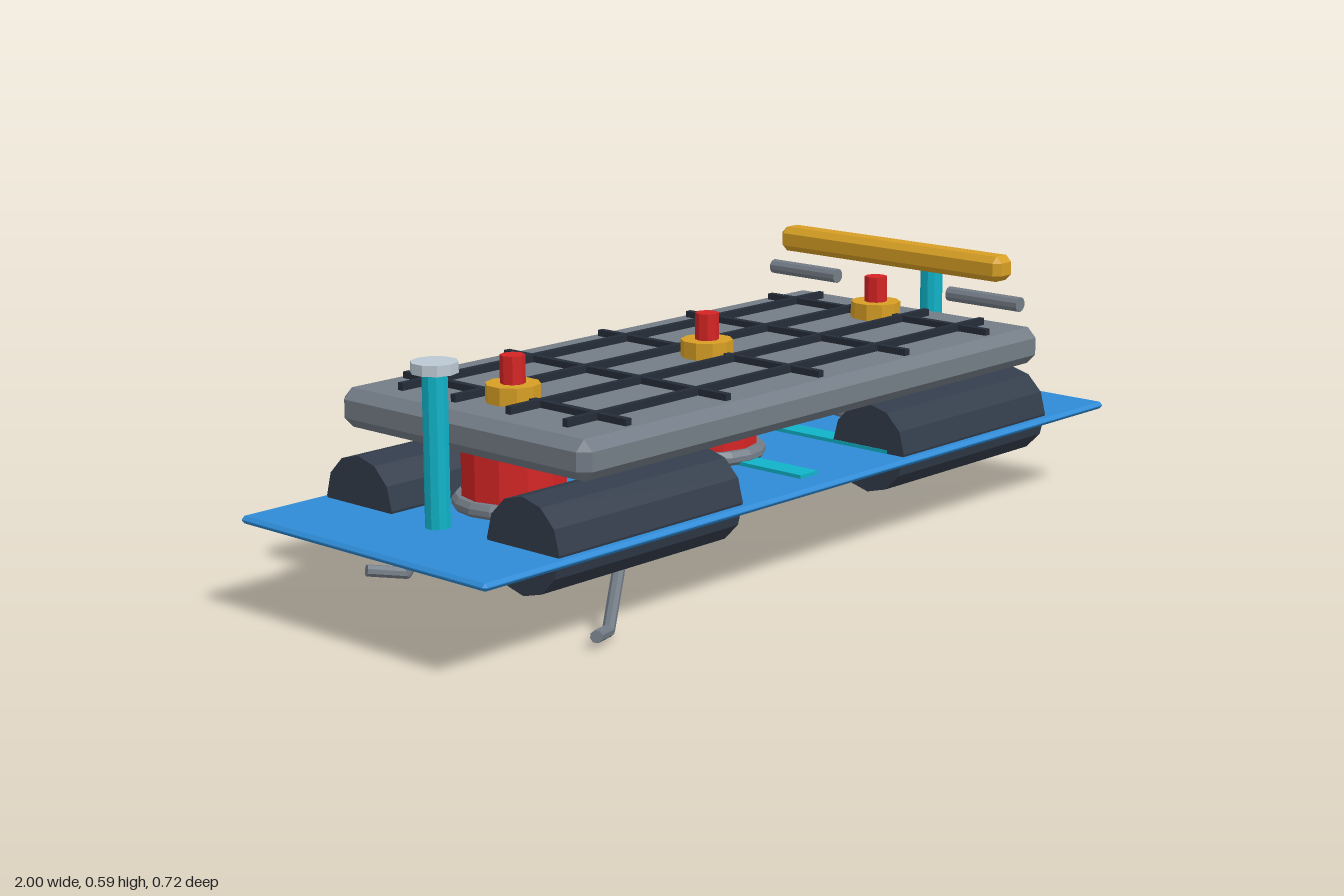
import * as THREE from 'three';
import { ConvexGeometry } from 'three/addons/geometries/ConvexGeometry.js';

const mat = (name, color) => {
  const m = new THREE.MeshStandardMaterial({ color, flatShading: true });
  m.name = name;
  return m;
};

// Box with all edges chamfered by c
function chamferBox(w, h, d, c) {
  const pts = [], [x, y, z] = [w / 2, h / 2, d / 2];
  for (const i of [-1, 1]) for (const j of [-1, 1]) for (const k of [-1, 1]) {
    pts.push(
      new THREE.Vector3(i * x, j * (y - c), k * (z - c)),
      new THREE.Vector3(i * (x - c), j * y, k * (z - c)),
      new THREE.Vector3(i * (x - c), j * (y - c), k * z));
  }
  return new ConvexGeometry(pts);
}

export function createModel() {
  const model = new THREE.Group();
  model.name = 'platform';
  const blue = mat('board blue', 0x2e8bd6);
  const grey = mat('steel grey', 0x737c86);
  const dark = mat('pod slate', 0x323c4a);
  const black = mat('grid charcoal', 0x242c38);
  const red = mat('drum red', 0xd42424);
  const gold = mat('brass gold', 0xd69e24);
  const cyan = mat('post cyan', 0x10b2c8);
  const pale = mat('cap silver', 0xbcc8d2);

  const add = (name, geo, material, x = 0, y = 0, z = 0, parent = model) => {
    const m = new THREE.Mesh(geo, material);
    m.name = name;
    m.position.set(x, y, z);
    parent.add(m);
    return m;
  };
  // Upright cylinder between two heights
  const post = (name, r, y0, y1, sides, material, x) =>
    add(name, new THREE.CylinderGeometry(r, r, y1 - y0, sides), material, x, (y0 + y1) / 2, 0);

  // Bent rod: straight segments with ball joints
  const rod = (name, points, r) => {
    const g = new THREE.Group();
    g.name = name;
    const v = points.map(p => new THREE.Vector3(...p));
    for (let i = 0; i < v.length - 1; i++) {
      const dir = v[i + 1].clone().sub(v[i]);
      const mid = v[i].clone().add(v[i + 1]).multiplyScalar(0.5);
      const seg = add('rodSegment', new THREE.CylinderGeometry(r, r, dir.length(), 8), grey,
        mid.x, mid.y, mid.z, g);
      seg.quaternion.setFromUnitVectors(new THREE.Vector3(0, 1, 0), dir.normalize());
      if (i > 0) add('rodJoint', new THREE.SphereGeometry(r, 8, 6), grey, v[i].x, v[i].y, v[i].z, g);
    }
    model.add(g);
  };

  // Base board and upper deck
  add('baseBoard', chamferBox(2, 0.016, 0.71, 0.007), blue, 0, 0.198, 0);
  add('deck', chamferBox(1.476, 0.083, 0.71, 0.022), grey, 0, 0.3835, 0);

  // Grid on the deck and ribs on the board
  for (const x of [-0.58, -0.29, 0, 0.29, 0.58]) {
    add('crossGridBar', new THREE.BoxGeometry(0.016, 0.016, 0.64), black, x, 0.431, 0);
    add('boardRib', new THREE.BoxGeometry(0.055, 0.009, 0.58), cyan, x, 0.2095, 0);
  }
  for (const z of [-0.237, -0.079, 0.079, 0.237]) {
    add('longGridBar', new THREE.BoxGeometry(1.34, 0.016, 0.014), black, 0, 0.433, z);
  }

  // Drums with foot ring, collar and pin
  for (const x of [-0.58, 0, 0.58]) {
    post('drum', 0.11, 0.206, 0.345, 12, red, x);
    const ring = [[0, 0.208], [0.122, 0.208], [0.128, 0.215], [0.128, 0.226], [0.12, 0.237], [0, 0.237]];
    add('drumFoot', new THREE.LatheGeometry(ring.map(p => new THREE.Vector2(...p)), 16), grey, x);
    post('collar', 0.057, 0.42, 0.462, 10, gold, x);
    post('pin', 0.026, 0.42, 0.52, 8, red, x);
  }

  // Long pods at the four corners
  for (const sx of [-1, 1]) for (const sz of [-1, 1]) {
    const geo = new THREE.CylinderGeometry(0.099, 0.099, 0.525, 12).rotateZ(Math.PI / 2);
    add('pod', geo, dark, sx * 0.526, 0.211, sz * 0.237);
  }

  // End posts with caps
  for (const x of [-0.79, 0.79]) {
    post('endPost', 0.026, 0.2, 0.52, 10, cyan, x);
    post('endPostCap', 0.048, 0.518, 0.54, 10, pale, x);
  }

  // Raised bar and the two handles below it
  add('raisedBar', chamferBox(0.065, 0.057, 0.642, 0.014), gold, 0.643, 0.5665, 0);
  for (const s of [-1, 1]) {
    const geo = new THREE.CylinderGeometry(0.017, 0.017, 0.197, 10).rotateX(Math.PI / 2);
    add('handle', geo, grey, 0.643, 0.491, s * 0.2635);
  }

  // Bent keel rod and rear legs under the board
  rod('keelRod', [[-0.5, 0.19, 0], [-0.29, 0.099, 0], [0, 0.15, 0], [0.29, 0.099, 0], [0.5, 0.19, 0]], 0.014);
  for (const s of [-1, 1]) {
    rod('rearLeg', [[-0.545, 0.15, s * 0.264], [-0.615, 0.014, s * 0.295], [-0.69, 0.028, s * 0.335]], 0.013);
  }
  return model;
}
